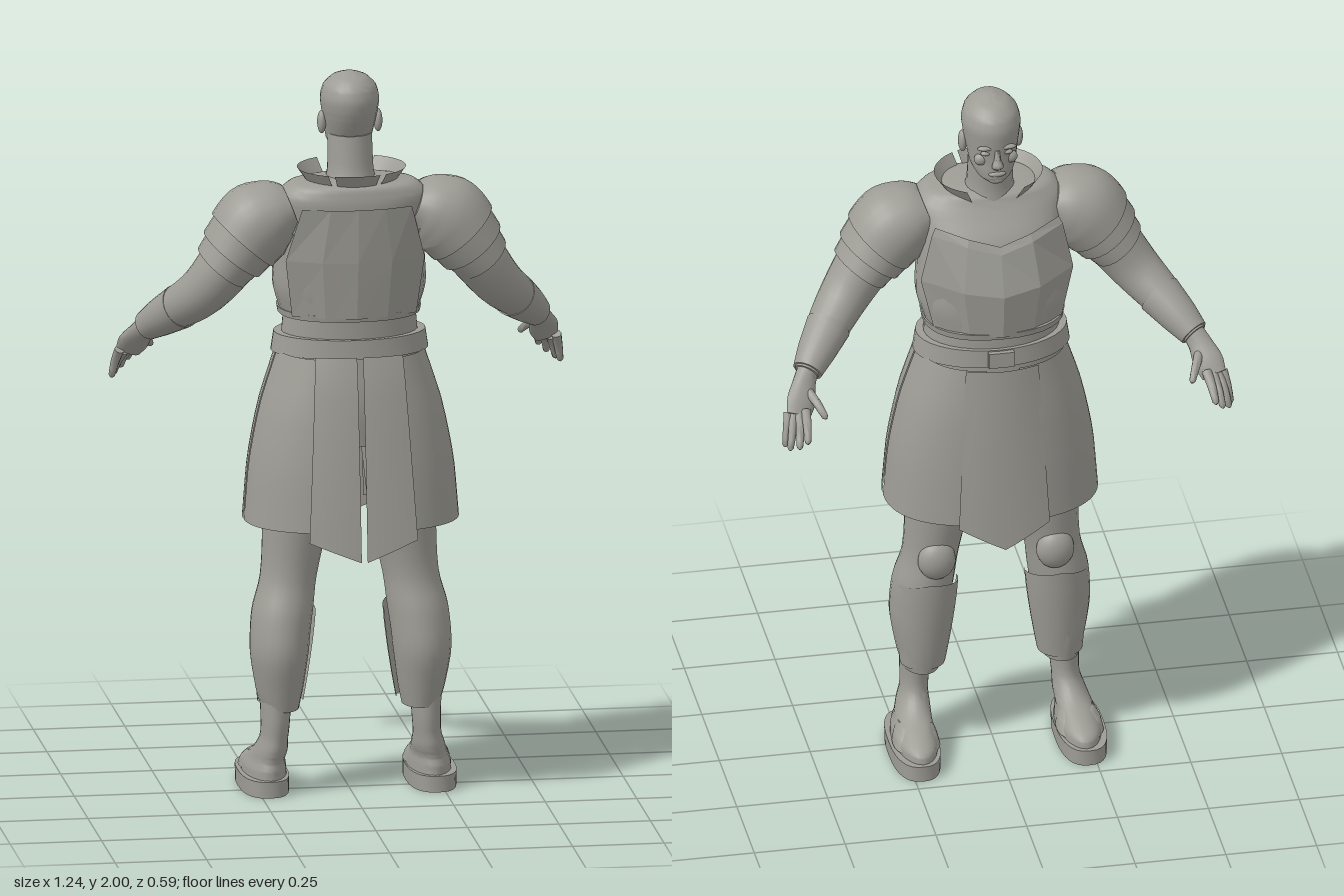
import * as THREE from 'three';
import { toCreasedNormals } from 'three/addons/utils/BufferGeometryUtils.js';

const armour = new THREE.MeshStandardMaterial({ color: 0x9d9c95, side: THREE.DoubleSide });
armour.name = 'stone grey';
const UP = new THREE.Vector3(0, 1, 0);
const V = (x, y, z) => new THREE.Vector3(x, y, z);
const mix = THREE.MathUtils.lerp;

function build(positions, index, crease) {
  const g = new THREE.BufferGeometry();
  g.setAttribute('position', new THREE.Float32BufferAttribute(positions, 3));
  g.setIndex(index);
  return toCreasedNormals(g, crease);
}

// Smooth skin over oval sections [x, y, z, radiusAcross, radiusDepth]; upright keeps sections level
function loft(sections, { s = 1, upright = false, n = 24, steps = 4, power = 2, crease = 0.8 } = {}) {
  const path = new THREE.CatmullRomCurve3(sections.map(p => V(p[0] * s, p[1], p[2])));
  const size = new THREE.CatmullRomCurve3(sections.map(p => V(p[3], p[4], 0)));
  const rows = (sections.length - 1) * steps, pos = [], idx = [];
  const bend = v => Math.sign(v) * Math.abs(v) ** (2 / power);
  for (let i = 0; i <= rows; i++) {
    const c = path.getPoint(i / rows), r = size.getPoint(i / rows);
    const t = upright ? UP : path.getTangent(i / rows);
    const b = V(0, 0, 1).addScaledVector(t, -t.z).normalize();
    const a = b.clone().cross(t);
    for (let j = 0; j < n; j++) {
      const q = j / n * Math.PI * 2;
      const p = c.clone().addScaledVector(a, bend(Math.cos(q)) * r.x).addScaledVector(b, bend(Math.sin(q)) * r.y);
      pos.push(p.x, p.y, p.z);
      const k = (j + 1) % n, o = i * n;
      if (i < rows) idx.push(o + j, o + k, o + n + j, o + k, o + n + k, o + n + j);
    }
  }
  // End caps
  const first = (rows + 1) * n, a = path.getPoint(0), z = path.getPoint(1);
  pos.push(a.x, a.y, a.z, z.x, z.y, z.z);
  for (let j = 0; j < n; j++) {
    const k = (j + 1) % n;
    idx.push(first, k, j, first + 1, rows * n + j, rows * n + k);
  }
  return build(pos, idx, crease);
}

// Thin sheet given by a rule fn(u, v) => [x, y, z]
function sheet(fn, nu = 12, nv = 8, crease = 0.6) {
  const pos = [], idx = [];
  for (let i = 0; i <= nv; i++) for (let j = 0; j <= nu; j++) {
    pos.push(...fn(j / nu, i / nv));
    const o = i * (nu + 1) + j;
    if (i < nv && j < nu) idx.push(o, o + nu + 1, o + 1, o + 1, o + nu + 1, o + nu + 2);
  }
  return build(pos, idx, crease);
}

export function createModel() {
  const model = new THREE.Group();
  model.name = 'armouredFigure';
  const add = (name, geometry, parent = model) => {
    const m = new THREE.Mesh(geometry, armour);
    m.name = name;
    parent.add(m);
    return m;
  };
  const blob = (name, x, y, z, rx, ry, rz, parent) => {
    const m = add(name, new THREE.SphereGeometry(1, 20, 14), parent);
    m.position.set(x, y, z);
    m.scale.set(rx, ry, rz);
    return m;
  };

  // Head, facing -z
  const head = new THREE.Group();
  head.name = 'head';
  model.add(head);
  add('skull', loft([
    [0, 1.77, -0.052, 0.02, 0.02], [0, 1.785, -0.033, 0.045, 0.048], [0, 1.81, -0.01, 0.061, 0.072],
    [0, 1.85, 0.004, 0.069, 0.085], [0, 1.89, 0.012, 0.076, 0.096], [0, 1.925, 0.015, 0.08, 0.1],
    [0, 1.96, 0.017, 0.072, 0.09], [0, 1.985, 0.02, 0.048, 0.062], [0, 1.999, 0.022, 0.012, 0.016],
  ], { upright: true, crease: 1.5 }), head);
  add('neck', loft([[0, 1.66, 0.04, 0.085, 0.085], [0, 1.73, 0.03, 0.063, 0.066], [0, 1.83, 0.02, 0.06, 0.062]], { upright: true }), head);
  add('nose', loft([[0, 1.822, -0.08, 0.014, 0.012], [0, 1.832, -0.086, 0.016, 0.017],
    [0, 1.85, -0.082, 0.009, 0.014], [0, 1.878, -0.076, 0.007, 0.01]], { upright: true, n: 12 }), head);
  blob('lips', 0, 1.803, -0.078, 0.024, 0.008, 0.01, head);
  blob('chin', 0, 1.782, -0.066, 0.024, 0.014, 0.015, head);
  for (const s of [-1, 1]) {
    blob('ear', s * 0.077, 1.86, 0.02, 0.012, 0.032, 0.019, head);
    blob('brow', s * 0.03, 1.883, -0.073, 0.024, 0.007, 0.01, head);
    blob('eye', s * 0.03, 1.866, -0.07, 0.014, 0.007, 0.01, head);
    blob('cheek', s * 0.04, 1.842, -0.056, 0.02, 0.018, 0.016, head);
  }

  // Torso, waist and belt
  add('torso', loft([
    [0, 1.335, -0.002, 0.188, 0.148], [0, 1.42, 0.003, 0.208, 0.155], [0, 1.5, 0.012, 0.203, 0.155],
    [0, 1.6, 0.035, 0.2, 0.14], [0, 1.67, 0.06, 0.205, 0.115], [0, 1.705, 0.065, 0.17, 0.1], [0, 1.715, 0.06, 0.1, 0.08],
  ], { upright: true, power: 2.4, n: 32 }));
  add('waist', loft([[0, 1.23, 0.01, 0.19, 0.13], [0, 1.345, 0.012, 0.18, 0.132]], { upright: true, n: 32 }));
  add('belt', loft([[0, 1.228, 0.012, 0.215, 0.145], [0, 1.28, 0.012, 0.207, 0.142]], { upright: true, n: 36, steps: 1 }));
  add('buckle', new THREE.BoxGeometry(0.07, 0.045, 0.016)).position.set(0, 1.254, -0.135);
  add('breastplateRim', loft([[0, 1.33, -0.004, 0.193, 0.155], [0, 1.348, -0.004, 0.196, 0.158]],
    { upright: true, power: 2.3, n: 32, steps: 1 }));
  add('hips', loft([[0, 0.98, 0.015, 0.17, 0.13], [0, 1.1, 0.015, 0.2, 0.14], [0, 1.24, 0.01, 0.19, 0.13]], { upright: true }));

  // Faceted plates: rows of [y, half width, z at centre, z at sides, dip of centre]
  const plate = rows => sheet((u, v) => {
    const i = Math.round(v * (rows.length - 1)), [y, w, zc, zs, dip] = rows[i];
    const k = Math.abs(u * 2 - 1);
    return [(u * 2 - 1) * w, y - dip * (1 - k), mix(zc, zs, k ** 2), ];
  }, 4, rows.length - 1, 0.05);
  add('breastplate', plate([[1.65, 0.17, -0.125, -0.075, 0.05], [1.63, 0.18, -0.138, -0.08, 0.05],
    [1.49, 0.21, -0.18, -0.075, 0.02], [1.34, 0.175, -0.167, -0.085, 0]]));
  add('backplate', plate([[1.65, 0.15, 0.186, 0.155, 0], [1.5, 0.19, 0.178, 0.12, 0], [1.34, 0.17, 0.16, 0.1, 0]]));

  // Flared collar in segments, angle 0 at the back
  for (const [from, to] of [[-148, -32], [-25, 25], [32, 148]]) add('collar', sheet((u, v) => {
    const q = THREE.MathUtils.degToRad(mix(from, to, u));
    const r = mix(0.105, 0.148, v);
    return [Math.sin(q) * r, mix(1.68, 1.742, v), 0.05 + Math.cos(q) * r * 0.87];
  }, 12, 3));

  // Skirt outline at a given drop: half width, back z, front z
  const outline = new THREE.CatmullRomCurve3([V(0.2, 0.195, -0.16), V(0.25, 0.22, -0.174), V(0.28, 0.236, -0.18), V(0.293, 0.245, -0.183)]);
  const skirtPoint = (deg, v) => {
    const o = outline.getPoint(v), q = THREE.MathUtils.degToRad(deg);
    const f = t => Math.sign(t) * Math.abs(t) ** 0.85;
    return [f(Math.sin(q)) * o.x, mix(1.235, 0.765, v), (o.y + o.z) / 2 + f(Math.cos(q)) * (o.y - o.z) / 2];
  };
  for (const s of [-1, 1]) {
    add('skirtSideRear', sheet((u, v) => skirtPoint(s * mix(8, 88, u), v), 14, 10));
    add('skirtSideFront', sheet((u, v) => skirtPoint(s * mix(89.5, 170, u), v), 14, 10));
    add('skirtRearFlap', sheet((u, v) => [
      s * mix(0.008, mix(0.12, 0.148, v), u),
      mix(1.245, mix(0.695, 0.75, u), v),
      mix(0.207, 0.296, v ** 0.75) - 0.018 * u * u,
    ], 6, 10));
  }
  add('skirtFrontFlap', sheet((u, v) => {
    const k = u * 2 - 1;
    return [k * mix(0.1, 0.125, v), mix(1.235, mix(0.695, 0.76, Math.abs(k)), v), mix(-0.17, -0.203, v) + 0.02 * k * k];
  }, 8, 8));

  for (const s of [-1, 1]) {
    const side = s > 0 ? 'left' : 'right';

    // Leg, greave, knee guard and shoe
    const leg = new THREE.Group();
    leg.name = side + 'Leg';
    model.add(leg);
    add('trouserLeg', loft([
      [0.192, 0.235, 0.025, 0.051, 0.073], [0.194, 0.29, 0.028, 0.064, 0.084], [0.195, 0.4, 0.035, 0.08, 0.099],
      [0.186, 0.5, 0.023, 0.083, 0.097], [0.167, 0.6, 0.012, 0.077, 0.083], [0.146, 0.76, 0.008, 0.09, 0.093],
      [0.115, 1.1, 0.02, 0.1, 0.11],
    ], { s, upright: true }), leg);
    add('greave', sheet((u, v) => {
      const q = mix(-1.75, 1.75, u), r = mix(0.086, 0.062, v ** 1.5);
      return [s * (mix(0.178, 0.189, v) - Math.sin(q) * r), mix(0.53 - 0.03 * Math.abs(u * 2 - 1), 0.25, v),
        mix(0.007, 0.012, v) - Math.cos(q) * r];
    }, 14, 6), leg);
    blob('kneeGuard', s * 0.163, 0.6, -0.06, 0.052, 0.058, 0.038, leg);
    add('ankleAndFoot', loft([
      [0.225, 0.04, -0.055, 0.06, 0.148], [0.225, 0.065, -0.053, 0.058, 0.145], [0.222, 0.09, -0.03, 0.05, 0.115],
      [0.215, 0.12, 0.012, 0.045, 0.08], [0.208, 0.17, 0.036, 0.038, 0.058], [0.205, 0.26, 0.036, 0.042, 0.06],
    ], { s, upright: true }), leg);
    add('sole', loft([[0.229, 0, -0.055, 0.066, 0.159], [0.229, 0.045, -0.055, 0.067, 0.159]],
      { s, upright: true, power: 2.6, steps: 1, n: 32 }), leg);
    add('shoeStrap', loft([[0.225, 0.05, -0.085, 0.064, 0.07], [0.225, 0.075, -0.075, 0.058, 0.06], [0.222, 0.1, -0.05, 0.045, 0.05]],
      { s, upright: true, power: 2.6 }), leg);

    // Arm with bracer
    const arm = new THREE.Group();
    arm.name = side + 'Arm';
    model.add(arm);
    add('sleeve', loft([
      [0.22, 1.62, 0.06, 0.09, 0.1], [0.32, 1.51, 0.06, 0.08, 0.088], [0.4, 1.405, 0.03, 0.068, 0.072],
      [0.47, 1.335, -0.045, 0.056, 0.058], [0.535, 1.27, -0.13, 0.034, 0.034],
    ], { s }), arm);
    add('bracer', loft([[0.455, 1.348, -0.028, 0.062, 0.062], [0.5, 1.305, -0.085, 0.052, 0.052], [0.532, 1.273, -0.127, 0.041, 0.041]], { s }), arm);

    // Layered shoulder guard
    add('shoulderCap', loft([
      [0.17, 1.64, 0.06, 0.06, 0.085], [0.21, 1.625, 0.06, 0.092, 0.107], [0.26, 1.595, 0.06, 0.113, 0.118],
      [0.3, 1.55, 0.06, 0.108, 0.118],
    ], { s }), arm);
    add('upperShoulderPlate', loft([[0.285, 1.565, 0.06, 0.104, 0.113], [0.328, 1.51, 0.055, 0.096, 0.11]], { s, steps: 2 }), arm);
    add('lowerShoulderPlate', loft([[0.315, 1.525, 0.057, 0.09, 0.102], [0.356, 1.473, 0.05, 0.08, 0.098]], { s, steps: 2 }), arm);

    // Hand with spread fingers
    add('palm', loft([[0.53, 1.275, -0.125, 0.03, 0.026], [0.545, 1.25, -0.15, 0.033, 0.022],
      [0.56, 1.215, -0.185, 0.041, 0.018], [0.572, 1.185, -0.21, 0.034, 0.013]], { s, n: 16 }), arm);
    const fingers = [
      [0.597, 1.19, -0.197, 0.614, 1.105, -0.235], [0.583, 1.185, -0.205, 0.605, 1.108, -0.262],
      [0.568, 1.188, -0.212, 0.583, 1.122, -0.285], [0.552, 1.196, -0.21, 0.562, 1.142, -0.295],
      [0.54, 1.235, -0.165, 0.503, 1.19, -0.25],
    ];
    for (const [x, y, z, X, Y, Z] of fingers) add('finger', loft([
      [x, y, z, 0.014, 0.013], [mix(x, X, 0.5), mix(y, Y, 0.5) + 0.006, mix(z, Z, 0.5) - 0.004, 0.012, 0.011],
      [mix(x, X, 0.92), mix(y, Y, 0.92), mix(z, Z, 0.92), 0.009, 0.009], [X, Y, Z, 0.003, 0.003],
    ], { s, n: 10, steps: 2 }), arm);
  }
  return model;
}
